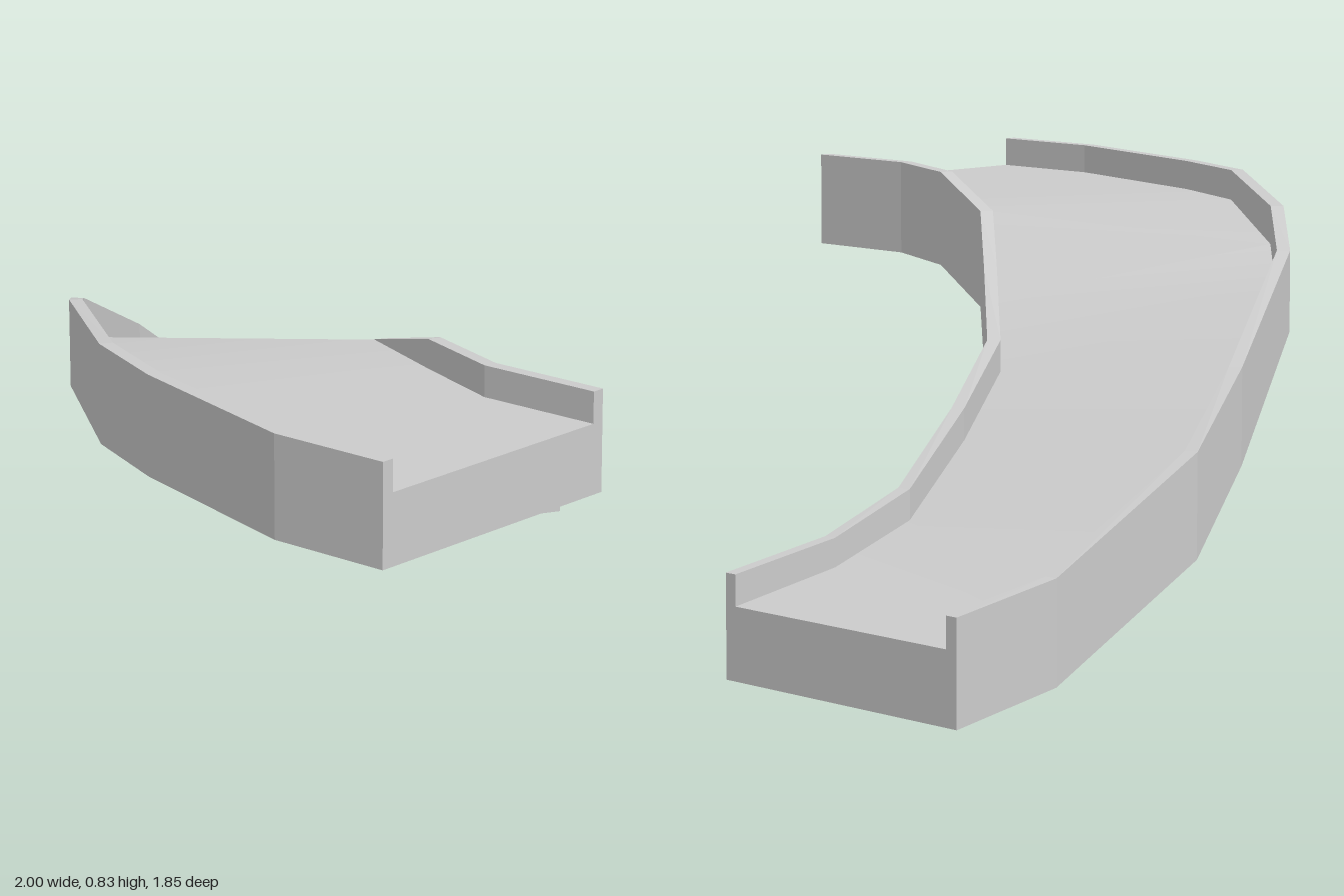
import * as THREE from 'three';
import { toCreasedNormals } from 'three/addons/utils/BufferGeometryUtils.js';

// Stations from the high end to the low end: x, z, bottom y, floor y, rim y
const outer = [
  [-1, 0.923, 0.63, 0.77, 0.833], [-1, 0.66, 0.63, 0.77, 0.833],
  [-0.877, 0.22, 0.63, 0.77, 0.833], [-0.786, 0, 0.63, 0.768, 0.833],
  [-0.508, -0.365, 0.617, 0.72, 0.80], [-0.326, -0.545, 0.567, 0.645, 0.735],
  [0.07, -0.772, 0.36, 0.458, 0.556], [0.3, -0.866, 0.215, 0.345, 0.424],
  [0.743, -0.923, 0.04, 0.187, 0.245], [1, -0.923, 0, 0.145, 0.207],
];
const inner = [
  [-0.378, 0.923, 0.63, 0.77, 0.833], [-0.378, 0.66, 0.63, 0.77, 0.833],
  [-0.302, 0.455, 0.625, 0.77, 0.83], [-0.207, 0.235, 0.56, 0.766, 0.767],
  [-0.067, 0.083, 0.465, 0.605, 0.67], [0.11, -0.105, 0.34, 0.485, 0.55],
  [0.305, -0.2, 0.225, 0.375, 0.44], [0.54, -0.29, 0.11, 0.253, 0.315],
  [0.743, -0.298, 0.04, 0.187, 0.245], [1, -0.298, 0, 0.145, 0.207],
];
const RAIL = 0.027;

// Mitred sideways offset of a rail in plan; side +1 moves towards the inner bend
function inset(rail, i, side) {
  const at = (k) => new THREE.Vector2(rail[k][0], rail[k][1]);
  const a = Math.max(i, 1);
  const b = Math.min(i, rail.length - 2);
  const d1 = at(a).sub(at(a - 1)).normalize();
  const d2 = at(b + 1).sub(at(b)).normalize();
  const dir = d1.clone().add(d2).normalize();
  const off = side * RAIL / dir.dot(d1);
  return [rail[i][0] - dir.y * off, rail[i][1] + dir.x * off];
}

// Open section, from the outer bottom edge over both rails to the inner one
function section(i) {
  const [ox, oz, ob, of, ot] = outer[i];
  const [ix, iz, ib, inf, it] = inner[i];
  const [px, pz] = inset(outer, i, 1);
  const [qx, qz] = inset(inner, i, -1);
  return [
    [ox, ob, oz], [ox, ot, oz], [px, ot, pz], [px, of, pz],
    [qx, inf, qz], [qx, it, qz], [ix, it, iz], [ix, ib, iz],
  ];
}

// Geometry from quads, each split along its first and third corners
function quads(list) {
  const pos = list.flatMap(([a, b, c, d]) => [a, b, c, a, c, d].flat());
  const geometry = new THREE.BufferGeometry();
  geometry.setAttribute('position', new THREE.Float32BufferAttribute(pos, 3));
  geometry.computeVertexNormals();
  return geometry;
}

export function createModel() {
  const group = new THREE.Group();
  group.name = 'curvedSlide';
  const material = new THREE.MeshStandardMaterial({ color: 0xcccccc, side: THREE.DoubleSide });
  const add = (name, geometry) => {
    const mesh = new THREE.Mesh(geometry, material);
    mesh.name = name;
    group.add(mesh);
  };

  const rings = outer.map((_, i) => section(i));
  // Strips between neighbouring sections, starting at section point k
  const strip = (k) => rings.slice(1).map((s, i) => {
    const r = rings[i];
    return [r[k + 1], s[k + 1], s[k], r[k]];
  });

  // Side walls: outside skirt, rim and inside lip
  add('outerRail', quads([0, 1, 2].flatMap(strip)));
  add('innerRail', quads([4, 5, 6].flatMap(strip)));

  // Sliding surface, hollow underneath
  add('floor', toCreasedNormals(quads(strip(3)), 0.4));

  // End plates closing both ends
  const plate = [[0, 1, 2, 3], [0, 3, 4, 7], [4, 5, 6, 7]];
  const first = rings[0];
  const last = rings[rings.length - 1];
  add('upperEndPlate', quads(plate.map((q) => q.map((k) => first[k]).reverse())));
  add('lowerEndPlate', quads(plate.map((q) => q.map((k) => last[k]))));
  return group;
}
